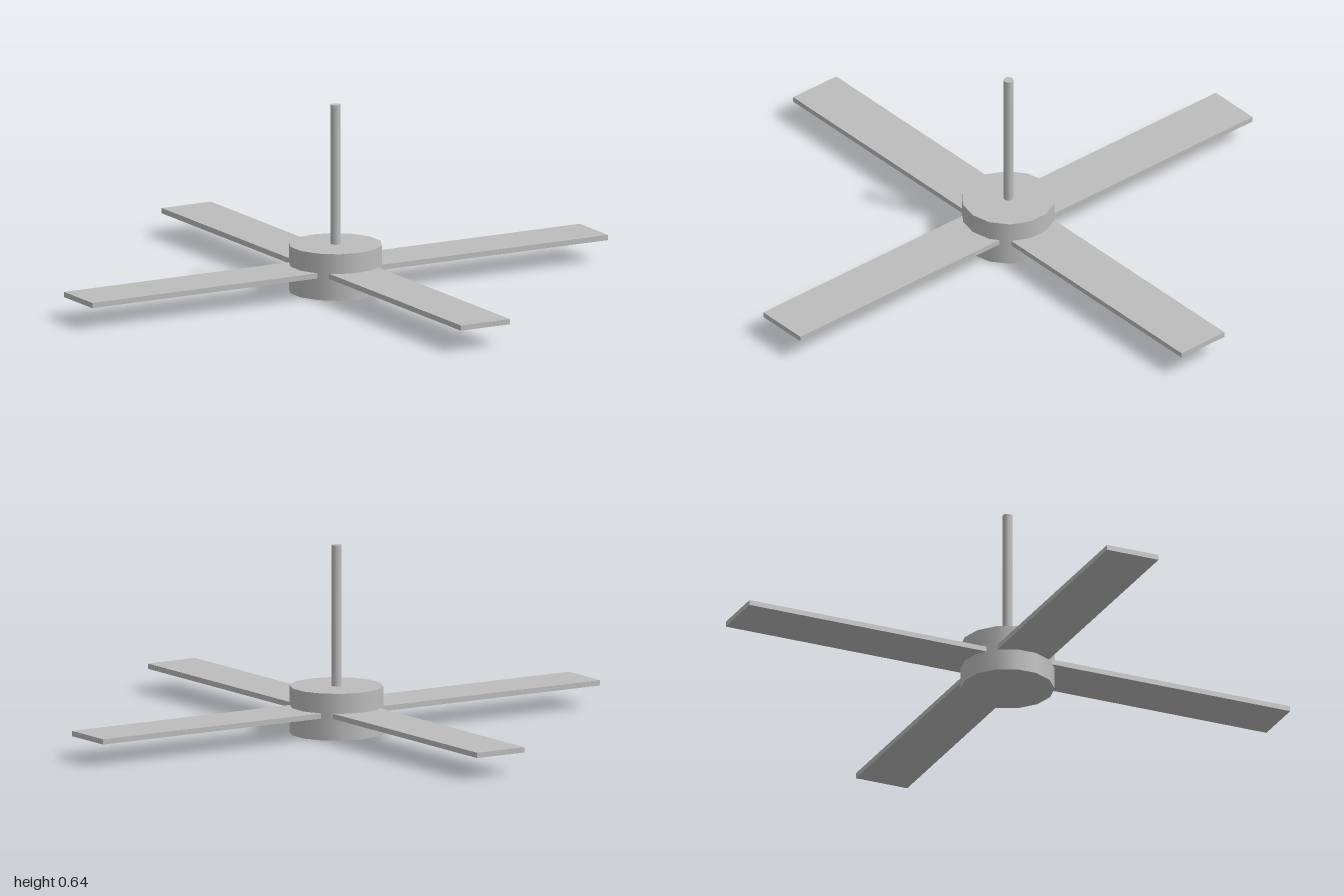
import * as THREE from 'three';

export function createModel() {
  const group = new THREE.Group();
  const grey = new THREE.MeshStandardMaterial({ color: 0xbcbcbc });
  grey.name = 'light grey';
  const offset = -0.002; // hub axis sits a hair off the blade span centre

  const add = (name, geometry, x, y, z) => {
    const mesh = new THREE.Mesh(geometry, grey);
    mesh.name = name;
    mesh.position.set(x, y, z);
    group.add(mesh);
    return mesh;
  };

  // Motor housing, standing on the ground plane
  add('motorHousing', new THREE.CylinderGeometry(0.158, 0.158, 0.16, 14), offset, 0.08, offset);

  // Hanging rod
  add('downRod', new THREE.CylinderGeometry(0.017, 0.017, 0.49, 10), offset, 0.395, offset);

  // Four flat blades, each running from inside the housing to its tip
  const inner = 0.08, length = 1 - inner, mid = inner + length / 2;
  for (const side of [1, -1]) {
    add(side > 0 ? 'leftBlade' : 'rightBlade',
      new THREE.BoxGeometry(length, 0.018, 0.19), side * mid, 0.083, offset);
    add(side > 0 ? 'frontBlade' : 'backBlade',
      new THREE.BoxGeometry(0.19, 0.018, length), offset, 0.083, side * mid);
  }

  return group;
}
